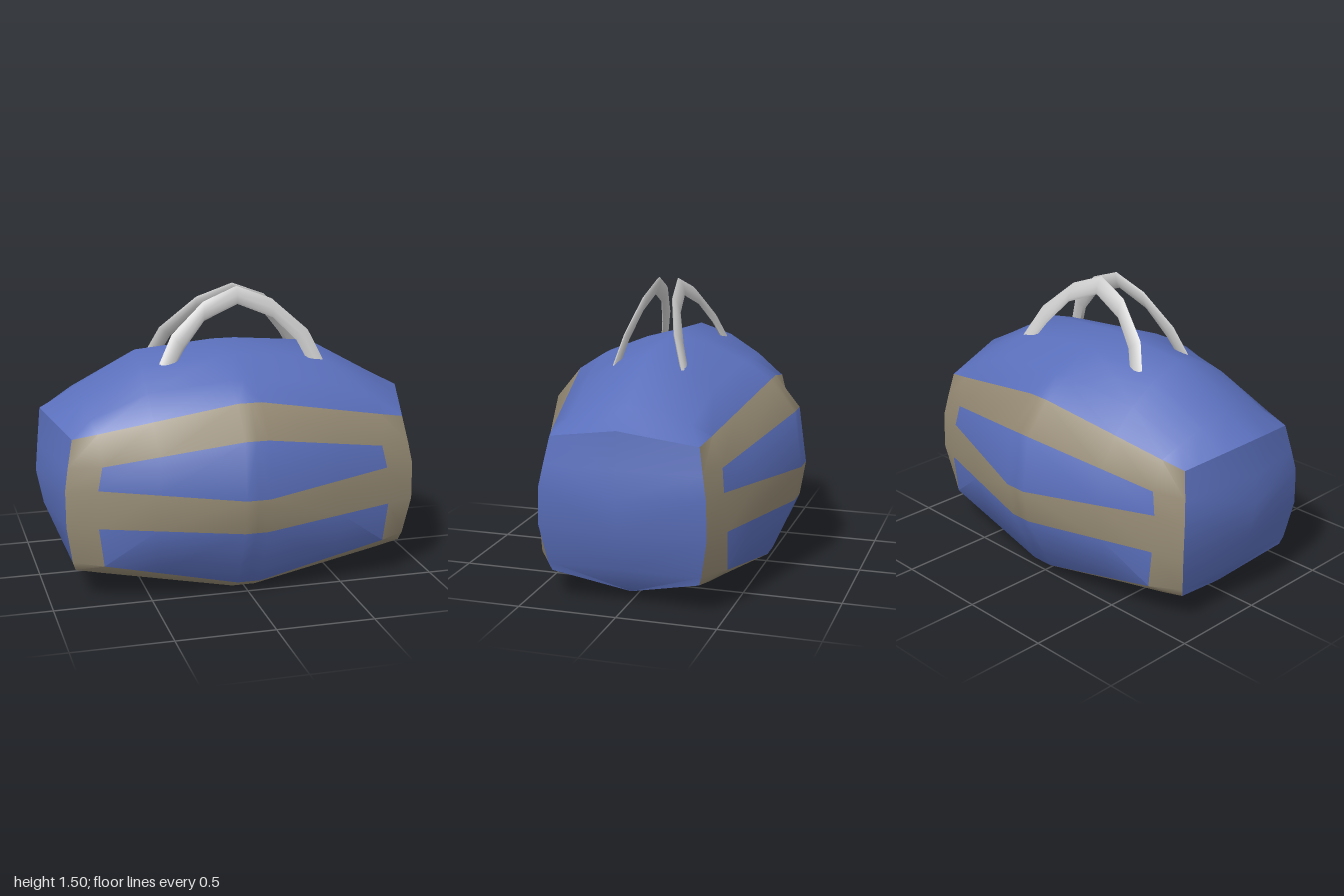
import * as THREE from 'three';
import { toCreasedNormals } from 'three/addons/utils/BufferGeometryUtils.js';

const BLUE = 0x5a6fbb, TAN = 0x938872, GREY = 0xcccccc;
const lerp = (a, b, t) => a.map((v, i) => v + (b[i] - v) * t);

// One quarter of the bag (+x, +z). Each row runs from the middle out to the end.
// Lid rows: middle, shoulder, near end, end edge.
const LID = [
  [[0.06, 1.22, 0], [0.47, 1.185, 0], [0.8, 1.0, 0], [0.97, 0.91, 0]],
  [[0.06, 1.17, 0.18], [0.47, 1.13, 0.17], [0.78, 0.97, 0.17], [0.923, 0.876, 0.169]],
  [[0.06, 1.085, 0.39], [0.47, 1.03, 0.33], [0.76, 0.91, 0.31], [0.886, 0.85, 0.3]],
];
// Side rows, top to bottom: middle, inner band edge, outer band edge, end centre line.
const SIDE = [
  [[0.06, 1.0, 0.52], [0.74, 0.86, 0.4], [0.865, 0.835, 0.375], [0.97, 0.91, 0]],
  [[0.06, 0.84, 0.65], [0.73, 0.705, 0.45], [0.893, 0.7, 0.4], [0.988, 0.72, 0]],
  [[0.06, 0.55, 0.69], [0.755, 0.59, 0.465], [0.912, 0.59, 0.42], [1.0, 0.58, 0]],
  [[0.06, 0.37, 0.66], [0.76, 0.4, 0.485], [0.912, 0.4, 0.425], [0.965, 0.4, 0]],
  [[0.06, 0.06, 0.52], [0.735, 0.2, 0.48], [0.88, 0.2, 0.39], [0.885, 0.2, 0]],
  [[0.06, 0, 0.41], [0.74, 0.133, 0.39], [0.865, 0.155, 0.375], [0.77, 0.05, 0]],
];
const BASE = [[0.06, 0, 0], [0.4, 0.022, 0], [0.6, 0.035, 0], [0.77, 0.05, 0]];

const fromMiddle = (row) => [[0, row[0][1], row[0][2]], ...row];

function bagGeometries() {
  const side = SIDE.map((r) => fromMiddle([r[0], lerp(r[0], r[1], 0.6), ...r.slice(1)]));
  const rows = [...LID.map(fromMiddle), ...side, fromMiddle(BASE)];
  const first = LID.length, last = first + SIDE.length - 1;
  const fabric = [], band = [];

  const addTriangle = (list, pts, flip) => {
    const [a, b, c] = pts.map((p) => new THREE.Vector3(...p));
    const area = b.clone().sub(a).cross(c.clone().sub(a)).length();
    if (area < 1e-7) return;
    for (const p of flip ? [a, c, b] : [a, b, c]) list.push(p.x, p.y, p.z);
  };

  for (const sx of [1, -1]) for (const sz of [1, -1]) {
    const place = (p) => [p[0] * sx, p[1], p[2] * sz];
    for (let k = 0; k < rows.length - 1; k++) {
      const onSide = k >= first && k < last;
      for (let j = 0; j < (onSide ? 5 : 4); j++) {
        // The band frames the side and crosses it between the two panels.
        const isBand = onSide && (j === 3 || (j < 3 && (k - first) % 2 === 0));
        const list = isBand ? band : fabric;
        const [a, b, c, d] =
          [rows[k][j], rows[k + 1][j], rows[k + 1][j + 1], rows[k][j + 1]].map(place);
        addTriangle(list, [a, b, c], sx * sz < 0);
        addTriangle(list, [a, c, d], sx * sz < 0);
      }
    }
  }

  // Shade everything together so the band blends smoothly into the fabric.
  let whole = new THREE.BufferGeometry();
  whole.setAttribute('position', new THREE.Float32BufferAttribute([...fabric, ...band], 3));
  whole = toCreasedNormals(whole, 0.75);
  const part = (from, to) => {
    const g = new THREE.BufferGeometry();
    for (const name of ['position', 'normal']) {
      const values = whole.attributes[name].array.slice(from, to);
      g.setAttribute(name, new THREE.BufferAttribute(values, 3));
    }
    return g;
  };
  return [part(0, fabric.length), part(fabric.length)];
}

// Handle outline, left to right: outer x, outer y, inner x, inner y.
const HANDLE = [
  [-0.41, 1.08, -0.31, 1.105], [-0.305, 1.28, -0.245, 1.205], [-0.13, 1.435, -0.13, 1.34],
  [0.05, 1.505, 0.05, 1.415], [0.235, 1.435, 0.235, 1.34], [0.42, 1.27, 0.355, 1.22],
  [0.5, 1.1, 0.4, 1.13],
];

// Flat oval strap lofted along the outline; zAt gives its lean.
function handleGeometry(outline, zAt) {
  const n = 8, thickness = 0.014, pos = [], idx = [];
  const addPoint = (x, y, dz) => pos.push(x, y, zAt(y) + dz);
  for (const [ox, oy, ix, iy] of outline) {
    for (let j = 0; j < n; j++) {
      const a = (j / n) * Math.PI * 2, u = Math.cos(a) / 2;
      addPoint((ox + ix) / 2 + (ox - ix) * u, (oy + iy) / 2 + (oy - iy) * u, Math.sin(a) * thickness);
    }
  }
  const ends = [outline[0], outline[outline.length - 1]];
  for (const [ox, oy, ix, iy] of ends) addPoint((ox + ix) / 2, (oy + iy) / 2, 0);
  const tail = (outline.length - 1) * n, centre = outline.length * n;
  for (let j = 0; j < n; j++) {
    const j2 = (j + 1) % n;
    for (let i = 0; i < tail; i += n) {
      idx.push(i + j, i + j2, i + n + j, i + j2, i + n + j2, i + n + j);
    }
    idx.push(centre, j2, j, centre + 1, tail + j, tail + j2);
  }
  const g = new THREE.BufferGeometry();
  g.setAttribute('position', new THREE.Float32BufferAttribute(pos, 3));
  g.setIndex(idx);
  return toCreasedNormals(g, 1.0);
}

export function createModel() {
  const group = new THREE.Group();
  const add = (name, geometry, color) => {
    const mesh = new THREE.Mesh(geometry, new THREE.MeshStandardMaterial({ color }));
    mesh.name = name;
    group.add(mesh);
  };

  const [fabric, band] = bagGeometries();
  add('bagBody', fabric, BLUE);
  add('sideBands', band, TAN);

  // The back handle is the front one turned about, leaning a little more.
  const turned = HANDLE.map(([ox, oy, ix, iy]) => [0.105 - ox, oy, 0.105 - ix, iy]).reverse();
  add('frontHandle', handleGeometry(HANDLE, (y) => 0.08 + (1.5 - y) * 0.25), GREY);
  add('backHandle', handleGeometry(turned, (y) => -0.025 - (1.5 - y) * 0.39), GREY);
  return group;
}
